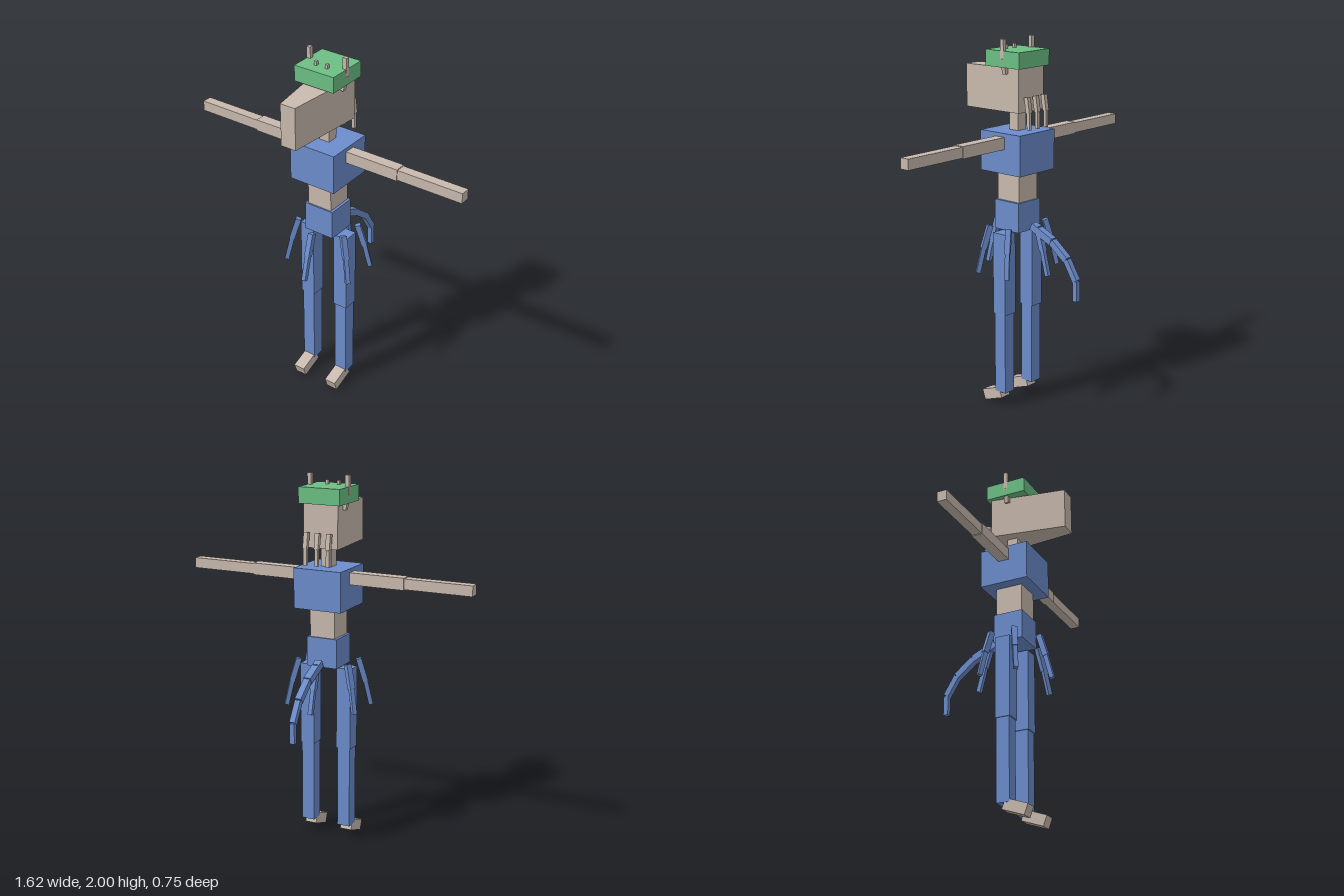
import * as THREE from 'three';

export function createModel() {
  const model = new THREE.Group();
  const mat = (name, color) => {
    const m = new THREE.MeshStandardMaterial({ color });
    m.name = name;
    return m;
  };
  const tan = mat('tan', 0xc8b9ad);
  const blue = mat('blue', 0x6c8ccb);
  const green = mat('green', 0x6cbf84);
  const Z = 0.05; // body centre line

  // Box given by its centre and size
  const box = (name, material, [x, y, z], [w, h, d], parent = model) => {
    const mesh = new THREE.Mesh(new THREE.BoxGeometry(w, h, d), material);
    mesh.name = name;
    mesh.position.set(x, y, z);
    parent.add(mesh);
    return mesh;
  };

  // Chain of square bars through a list of points, one width per bar
  const chain = (name, material, points, widths) => {
    const group = new THREE.Group();
    group.name = name;
    const p = points.map((q) => new THREE.Vector3(...q));
    widths.forEach((w, i) => {
      const mid = p[i].clone().lerp(p[i + 1], 0.5);
      const bar = box(name + 'Segment', material, mid.toArray(), [w, w, p[i].distanceTo(p[i + 1])], group);
      bar.lookAt(p[i + 1]);
    });
    model.add(group);
  };

  // Torso
  box('hips', blue, [0, 1.065, Z], [0.174, 0.16, 0.166]);
  box('waist', tan, [0, 1.225, Z], [0.144, 0.16, 0.15]);
  box('chest', blue, [0, 1.412, Z], [0.272, 0.215, 0.275]);
  box('neck', tan, [0, 1.575, Z], [0.06, 0.12, 0.062]);

  // Head: long snout narrowing and dropping towards the front
  const head = box('head', tan, [0, 1.74, 0.165], [0.196, 0.23, 0.42]);
  const pos = head.geometry.attributes.position;
  for (let i = 0; i < pos.count; i++) {
    if (pos.getZ(i) > 0) {
      pos.setX(i, pos.getX(i) * 0.45);
      pos.setY(i, pos.getY(i) - 0.015);
    }
  }
  head.geometry.computeVertexNormals();

  // Cap
  box('cap', green, [0, 1.897, Z], [0.236, 0.085, 0.23]);

  for (const s of [-1, 1]) {
    // Horns through the cap and small bumps on it
    chain('horn', tan, [[s * 0.09, 1.82, Z], [s * 0.108, 1.9, Z], [s * 0.109, 2.0, Z]], [0.024, 0.022]);
    box('bump', tan, [s * 0.033, 1.947, 0.1], [0.016, 0.03, 0.016]);

    // Arms
    box('upperArm', tan, [s * 0.285, 1.467, Z], [0.31, 0.064, 0.062]);
    box('forearm', tan, [s * 0.62, 1.467, Z], [0.38, 0.056, 0.054]);

    // Legs and feet
    box('thigh', blue, [s * 0.108, 0.755, Z], [0.082, 0.45, 0.085]);
    box('shin', blue, [s * 0.108, 0.31, Z], [0.072, 0.46, 0.074]);
    const foot = box('foot', tan, [s * 0.108, 0.052, 0.115], [0.066, 0.06, 0.131]);
    foot.rotation.x = 0.35;

    // Corner skirt strips
    for (const f of [-1, 1]) {
      chain('skirtStrip', blue, [
        [s * 0.145, 1.015, Z + f * 0.067],
        [s * 0.177, 0.89, Z + f * 0.086],
        [s * 0.202, 0.757, Z + f * 0.104],
      ], [0.03, 0.024]);
    }
  }

  // Centre skirt strips, front and back
  for (const f of [-1, 1]) {
    chain('skirtStrip', blue, [
      [0, 1.015, Z + f * 0.143],
      [0, 0.89, Z + f * 0.18],
      [0, 0.757, Z + f * 0.214],
    ], [0.03, 0.024]);
  }

  // Hanging strands behind the head
  for (const x of [-0.065, 0, 0.065]) {
    chain('strand', tan, [[x, 1.71, -0.075], [x, 1.628, -0.088], [x, 1.54, -0.089]], [0.024, 0.018]);
  }

  // Tail
  chain('tail', blue, [
    [0, 1.015, -0.06],
    [0, 0.953, -0.195],
    [0, 0.873, -0.295],
    [0, 0.77, -0.358],
    [0, 0.66, -0.359],
  ], [0.04, 0.036, 0.032, 0.027]);

  return model;
}
